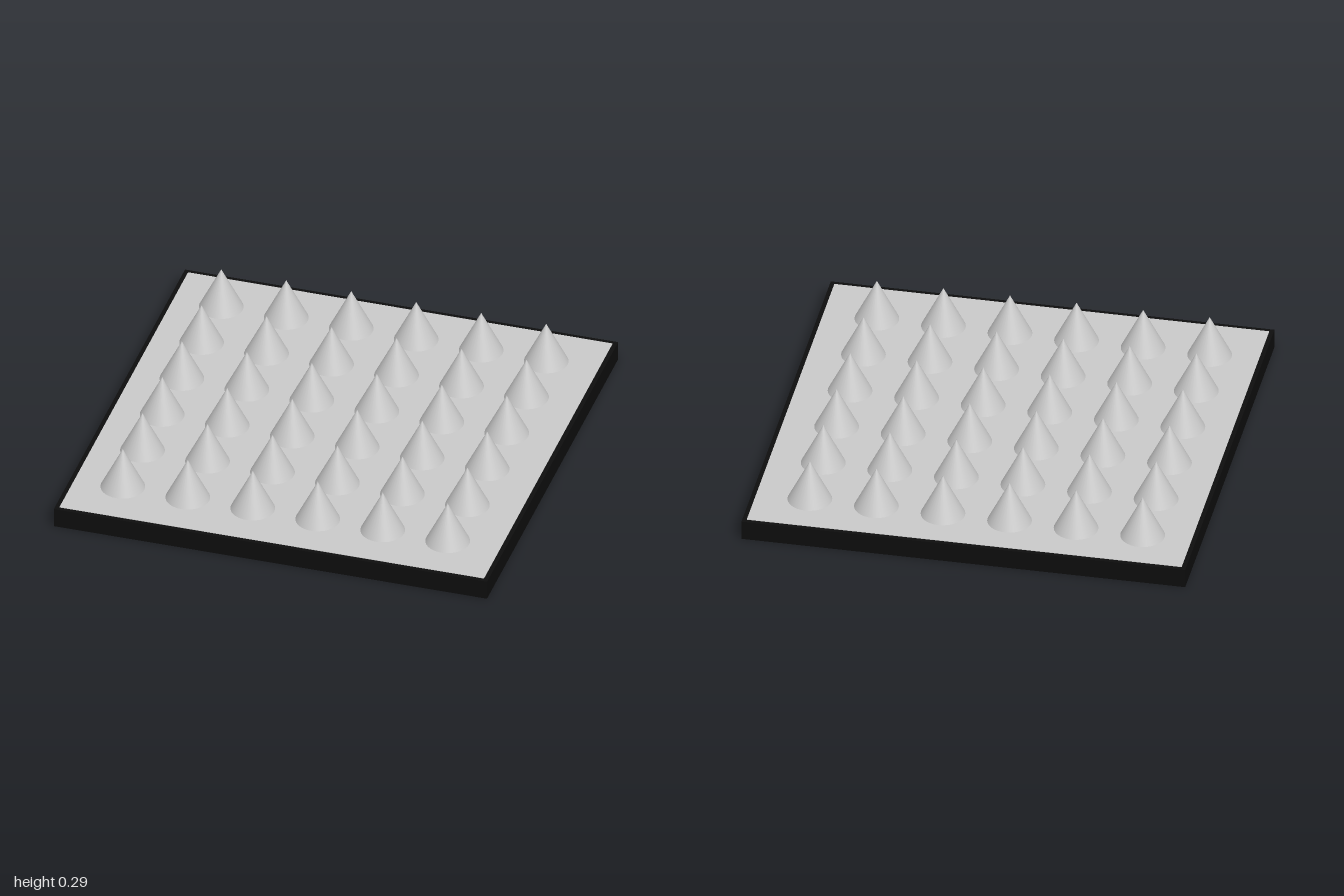
import * as THREE from 'three';

export function createModel() {
  const group = new THREE.Group();
  const black = new THREE.MeshStandardMaterial({ name: 'black', color: 0x0d0d0d });
  const grey = new THREE.MeshStandardMaterial({ name: 'lightGrey', color: 0xc8c8c8 });

  const add = (name, geometry, material, x, y, z, parent = group) => {
    const mesh = new THREE.Mesh(geometry, material);
    mesh.name = name;
    mesh.position.set(x, y, z);
    parent.add(mesh);
    return mesh;
  };

  // Square slab with a thin inset plate on top, leaving a narrow dark rim
  const baseHeight = 0.09;
  add('base', new THREE.BoxGeometry(2, baseHeight, 2), black, 0, baseHeight / 2, 0);
  add('topPlate', new THREE.BoxGeometry(1.96, 0.004, 1.96), grey, 0, baseHeight, 0);

  // Six by six grid of spikes, set slightly off centre
  const spikes = new THREE.Group();
  spikes.name = 'spikes';
  group.add(spikes);
  const spikeHeight = 0.2;
  const spikeGeometry = new THREE.ConeGeometry(0.1, spikeHeight, 32);
  for (let row = 0; row < 6; row++) {
    for (let column = 0; column < 6; column++) {
      add('spike', spikeGeometry, grey,
        -0.76 + column * 0.3, baseHeight + spikeHeight / 2, -0.76 + row * 0.3, spikes);
    }
  }
  return group;
}
